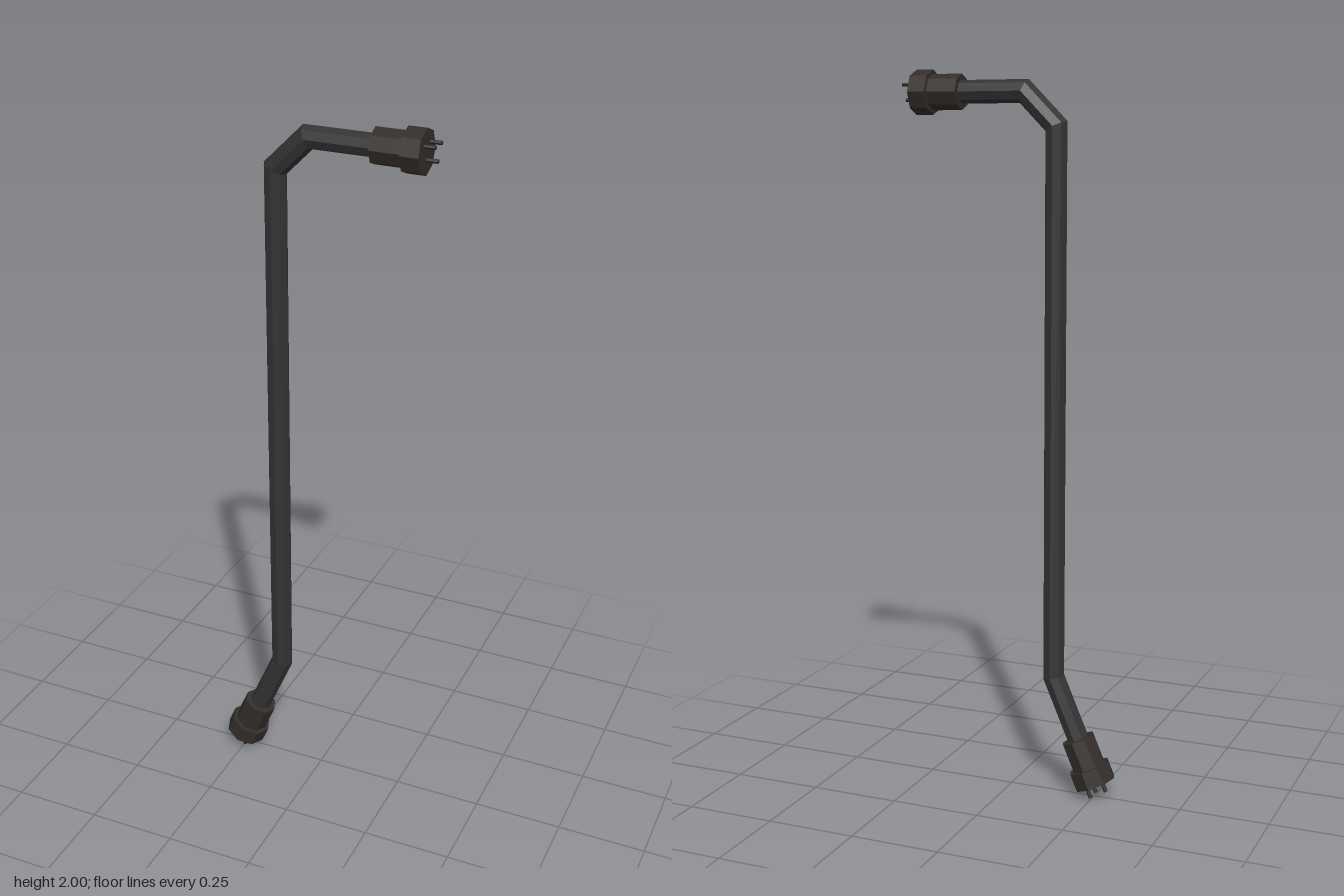
import * as THREE from 'three';

const SIDES = 8;
const material = (color) => new THREE.MeshStandardMaterial({ color, flatShading: true });

// Octagonal pipe swept along a path in the xy plane, with mitred bends
function mitredPipe(points, radius) {
  const normals = points.slice(1).map((p, i) => {
    const t = p.clone().sub(points[i]).normalize();
    return new THREE.Vector2(-t.y, t.x);
  });
  const position = [];
  const index = [];
  points.forEach((p, i) => {
    const before = normals[Math.max(i - 1, 0)];
    const after = normals[Math.min(i, normals.length - 1)];
    const side = before.clone().add(after).normalize();
    side.multiplyScalar(radius / side.dot(before));
    for (let j = 0; j < SIDES; j++) {
      const a = (j / SIDES) * Math.PI * 2;
      position.push(p.x + side.x * Math.cos(a), p.y + side.y * Math.cos(a), radius * Math.sin(a));
      if (i < points.length - 1) {
        const k = i * SIDES;
        const n = (j + 1) % SIDES;
        index.push(k + j, k + n, k + SIDES + n, k + j, k + SIDES + n, k + SIDES + j);
      }
    }
  });
  const geometry = new THREE.BufferGeometry();
  geometry.setAttribute('position', new THREE.Float32BufferAttribute(position, 3));
  geometry.setIndex(index);
  geometry.computeVertexNormals();
  return geometry;
}

// Plug with its outer face at the local origin, pointing along +y
function connector(name, plugMaterial, pinMaterial) {
  const group = new THREE.Group();
  group.name = name;
  const add = (part, radius, from, to, sides, mat, x = 0, z = 0) => {
    const mesh = new THREE.Mesh(new THREE.CylinderGeometry(radius, radius, to - from, sides), mat);
    mesh.name = part;
    mesh.position.set(x, (from + to) / 2, z);
    group.add(mesh);
  };
  add('plugBody', 0.048, -0.135, -0.05, SIDES, plugMaterial);
  add('plugCollar', 0.06, -0.05, 0, SIDES, plugMaterial);
  // Three contact pins in a triangle
  [[0.02, 0], [-0.02, 0.022], [-0.02, -0.022]].forEach(([x, z]) =>
    add('pin', 0.0055, -0.005, 0.031, 6, pinMaterial, x, z));
  return group;
}

export function createModel() {
  const model = new THREE.Group();
  model.name = 'cable';
  const plugMaterial = material(0x332e2a);
  const pinMaterial = material(0x2e2a28);

  // Path of the pipe from the lower plug to the upper plug
  const path = [[-0.254, 0.042], [-0.127, 0.338], [-0.127, 1.85], [-0.036, 1.941], [0.28, 1.941]]
    .map(([x, y]) => new THREE.Vector2(x, y));
  const ends = [path[0].clone(), path[4].clone()];
  const outward = [path[0].clone().sub(path[1]), path[4].clone().sub(path[3])];

  // Pipe stops inside the plug bodies
  path[0].addScaledVector(outward[0].clone().normalize(), -0.1);
  path[4].x -= 0.1;
  const pipe = new THREE.Mesh(mitredPipe(path, 0.031), material(0x333333));
  pipe.name = 'pipe';
  model.add(pipe);

  ['lowerConnector', 'upperConnector'].forEach((name, i) => {
    const plug = connector(name, plugMaterial, pinMaterial);
    plug.position.set(ends[i].x, ends[i].y, 0);
    plug.rotation.z = Math.atan2(outward[i].y, outward[i].x) - Math.PI / 2;
    model.add(plug);
  });
  return model;
}
